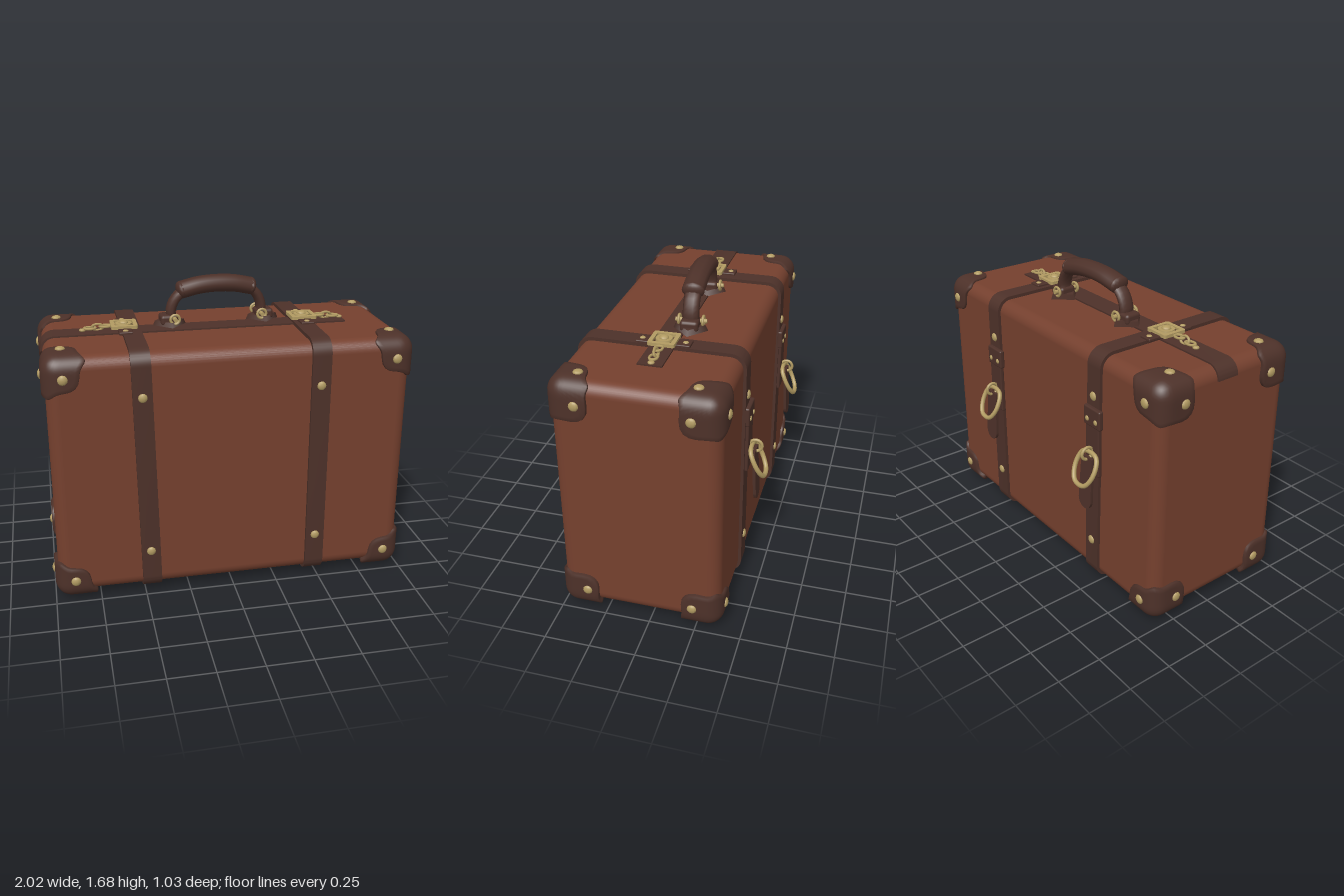
import * as THREE from 'three';
import { mergeVertices, toCreasedNormals } from 'three/addons/utils/BufferGeometryUtils.js';
import { RoundedBoxGeometry } from 'three/addons/geometries/RoundedBoxGeometry.js';

const material = (name, color) => Object.assign(new THREE.MeshStandardMaterial({ color }), { name });
const V = (x, y, z) => new THREE.Vector3(x, y, z);

// Outer limits of the corner caps
const LIMITS = [[-0.997, 0.997], [0, 1.408], [-0.396, 0.506]];

// Rounded shell over a box corner: a polar patch on each of its three faces
function capGeometry(sign) {
  const pos = [], index = [], rad = 0.09, rings = 10, arcs = 14;
  const flip = sign[0] * sign[1] * sign[2] < 0; // inward axes are -sign
  for (let f = 0; f < 3; f++) {
    const base = pos.length / 3;
    const bulge = f === 0 ? 0.055 : 0.015;
    for (let i = 0; i <= rings + 2; i++) {
      for (let j = 0; j <= arcs; j++) {
        const t = (j / arcs) * Math.PI / 2;
        const edge = 0.225 + bulge * Math.sin(2 * t) ** 2 - 0.02 * Math.sin(4 * t) ** 2;
        const r = edge * Math.min(i / rings, 1) + (i > rings ? 0.004 : 0);
        const depth = [0, 0.009, 0.045][Math.max(0, i - rings)];
        const p = [0, 0, 0];
        p[(f + 1) % 3] = r * Math.cos(t);
        p[(f + 2) % 3] = r * Math.sin(t);
        const c = p.map(v => Math.max(v, rad));
        const d = p.map((v, k) => v - c[k]);
        const len = Math.hypot(...d);
        for (let k = 0; k < 3; k++) {
          const local = c[k] + d[k] / len * (rad - depth);
          pos.push(LIMITS[k][sign[k] > 0 ? 1 : 0] - sign[k] * local);
        }
        if (i < rings + 2 && j < arcs) {
          const a = base + i * (arcs + 1) + j, b = a + arcs + 1;
          if (flip) index.push(a, a + 1, b, b, a + 1, b + 1);
          else index.push(a, b, a + 1, b, b + 1, a + 1);
        }
      }
    }
  }
  const geo = new THREE.BufferGeometry();
  geo.setAttribute('position', new THREE.Float32BufferAttribute(pos, 3));
  geo.setIndex(index);
  const merged = mergeVertices(geo, 1e-4);
  merged.computeVertexNormals();
  return merged;
}

// Rounded rectangle path
function roundRect(path, x0, y0, x1, y1, r) {
  path.absarc(x1 - r, y0 + r, r, -Math.PI / 2, 0);
  path.absarc(x1 - r, y1 - r, r, 0, Math.PI / 2);
  path.absarc(x0 + r, y1 - r, r, Math.PI / 2, Math.PI);
  path.absarc(x0 + r, y0 + r, r, Math.PI, Math.PI * 1.5);
  path.closePath();
  return path;
}

const extrude = (shape, depth) => toCreasedNormals(
  new THREE.ExtrudeGeometry(shape, { depth, bevelEnabled: false, curveSegments: 8 }), 0.6);

export function createModel() {
  const model = new THREE.Group();
  model.name = 'suitcase';
  const hide = material('russet leather', 0x75402e);
  const dark = material('dark leather', 0x4d3129);
  const brass = material('brass', 0xb29b62);

  const add = (name, geo, mat, x = 0, y = 0, z = 0, parent = model) => {
    const mesh = new THREE.Mesh(geo, mat);
    mesh.name = name;
    mesh.position.set(x, y, z);
    parent.add(mesh);
    return mesh;
  };
  const box = (name, mat, w, h, d, x, y, z, parent) =>
    add(name, new RoundedBoxGeometry(w, h, d, 2, Math.min(w, h, d) * 0.3), mat, x, y, z, parent);

  // Domed stud facing along one axis
  const domeGeo = new THREE.SphereGeometry(0.025, 10, 6);
  const rivet = (x, y, z, axis, size = 1) => {
    const m = add('rivet', domeGeo, brass, x, y, z);
    m.scale.setScalar(size);
    m.scale.setComponent(axis, 0.5 * size);
  };
  const tube = (points, r, closed = false) => new THREE.TubeGeometry(
    new THREE.CatmullRomCurve3(points, closed), 32, r, 10, closed);

  // Case
  add('case', new RoundedBoxGeometry(1.955, 1.36, 0.87, 5, 0.07), hide, 0, 0.715, 0.055);

  // Corner caps with a rivet on every face
  for (const sx of [-1, 1]) for (const sy of [-1, 1]) for (const sz of [-1, 1]) {
    const s = [sx, sy, sz];
    add('cornerCap', capGeometry(s), dark);
    const inset = [[0, 0.13, 0.16], [0.11, 0, 0.15], [0.11, 0.12, 0]];
    inset.forEach((d, axis) => rivet(
      ...d.map((v, k) => LIMITS[k][s[k] > 0 ? 1 : 0] - s[k] * v), axis, 1.08));
  }

  // Flat band along the top, folding over one end
  const band = new THREE.Shape();
  band.moveTo(0.72, 1.37);
  band.lineTo(0.72, 1.404);
  band.lineTo(-0.91, 1.404);
  band.absarc(-0.91, 1.326, 0.078, Math.PI / 2, Math.PI);
  band.lineTo(-0.95, 1.326);
  band.lineTo(-0.91, 1.37);
  band.closePath();
  add('topBand', extrude(band, 0.13), dark, 0, 0, -0.015);

  // Strap loop around the case
  const loop = roundRect(new THREE.Shape(), -0.507, 0.02, 0.397, 1.414, 0.085);
  loop.holes.push(roundRect(new THREE.Path(), -0.475, 0.05, 0.365, 1.38, 0.06));
  const strapGeo = extrude(loop, 0.105);
  strapGeo.translate(0, 0, -0.0525).rotateY(Math.PI / 2);

  // Square frame, pull ring and hanging tongue
  const frame = roundRect(new THREE.Shape(), -0.072, -0.072, 0.072, 0.072, 0.012);
  frame.holes.push(roundRect(new THREE.Path(), -0.05, -0.05, 0.05, 0.05, 0.006));
  const frameGeo = extrude(frame, 0.018).rotateX(-Math.PI / 2);
  const ringGeo = tube([V(-0.055, 0.08, 0), V(0.055, 0.08, 0), V(0.078, -0.01, 0),
    V(0.04, -0.085, 0), V(-0.04, -0.085, 0), V(-0.078, -0.01, 0)], 0.013, true);
  const tongue = new THREE.Shape();
  tongue.moveTo(0.045, 0.15);
  tongue.lineTo(-0.045, 0.15);
  tongue.lineTo(-0.052, -0.11);
  tongue.quadraticCurveTo(-0.045, -0.155, 0, -0.16);
  tongue.quadraticCurveTo(0.045, -0.155, 0.052, -0.11);
  tongue.closePath();
  const tongueGeo = extrude(tongue, 0.016);

  for (const side of [-1, 1]) {
    const x = side < 0 ? -0.478 : 0.468;
    const lean = side < 0 ? 0.018 : 0;
    const at = y => x - lean * (y - 0.7) * 1.2;
    const strap = strapGeo.clone();
    const p = strap.attributes.position;
    for (let i = 0; i < p.count; i++) p.setX(i, p.getX(i) + at(p.getY(i)));
    add('strap', strap, dark);
    for (const y of [0.265, 1.165]) {
      rivet(at(y), y, 0.508, 2);
      rivet(at(y), y, -0.398, 2);
    }
    for (const z of [-0.2, 0.32]) rivet(at(0), 0.02, z, 1);

    // Back fastening
    const bx = side < 0 ? -0.497 : 0.45;
    box('strapKeeper', dark, 0.135, 0.11, 0.03, bx, 1.05, -0.403);
    box('strapOverlay', dark, 0.11, 0.32, 0.025, bx, 0.87, -0.402);
    for (const dx of [-0.035, 0.035]) rivet(bx + dx, 1.035, -0.418, 2, 0.6);
    const hook = add('buckleHook', new THREE.TorusGeometry(0.034, 0.009, 8, 16), brass, bx, 0.85, -0.445);
    hook.rotation.y = Math.PI / 2;
    add('buckleRing', ringGeo, brass, bx, 0.765, -0.462).rotation.x = 0.44;
    add('strapTongue', tongueGeo, dark, bx, 0.68, -0.458).rotation.x = 0.06;

    // Top clasp: leather tab, square frame, stud and chain
    const cx = side < 0 ? -0.53 : 0.48;
    box('claspTab', dark, 0.075, 0.018, 0.29, cx, 1.417, 0.045);
    add('claspFrame', frameGeo, brass, cx, 1.421, 0.045);
    add('claspPlate', new THREE.CylinderGeometry(0.044, 0.048, 0.02, 16), brass, cx, 1.43, 0.045);
    const stud = add('claspStud', new THREE.SphereGeometry(0.026, 12, 8), brass, cx, 1.44, 0.045);
    stud.scale.y = 0.6;
    for (const z of [-0.07, 0.16]) rivet(cx, 1.425, z, 1, 0.65);
    for (let i = 0; i < 3; i++) {
      const link = add('claspChain', new THREE.TorusGeometry(0.021, 0.007, 6, 14), brass,
        cx + side * (0.1 + i * 0.042), 1.427 - i * 0.004, 0.045);
      link.scale.x = 1.4;
      link.rotation.x = i % 2 ? 0.4 : Math.PI / 2;
    }
    rivet(cx + side * 0.225, 1.41, 0.045, 1, 0.75);
  }

  // Handle: flat inner strap with a padded grip
  const handle = new THREE.Group();
  handle.name = 'handle';
  handle.position.z = -0.02;
  handle.rotation.y = 0.06;
  model.add(handle);
  const arch = add('handleStrap', tube([V(-0.25, 1.41, 0), V(-0.262, 1.48, 0), V(-0.225, 1.56, 0),
    V(-0.13, 1.61, 0), V(0, 1.625, 0), V(0.13, 1.61, 0), V(0.225, 1.56, 0), V(0.262, 1.48, 0),
    V(0.25, 1.41, 0)], 0.028), dark, 0, 0, 0, handle);
  arch.scale.z = 1.6;
  const gripPoints = [V(-0.2, 1.595, 0), V(-0.1, 1.616, 0), V(0, 1.622, 0), V(0.1, 1.616, 0), V(0.2, 1.595, 0)];
  add('handleGrip', tube(gripPoints, 0.048), dark, 0, 0, 0, handle).scale.z = 1.3;
  for (const s of [-1, 1]) {
    const end = add('gripEnd', new THREE.SphereGeometry(0.048, 14, 10), dark, s * 0.2, 1.595, 0, handle);
    end.scale.set(0.6, 1, 1.3);
    end.rotation.z = -s * 0.22;
    // Pointed leather mount with a cross pin
    const mount = new THREE.CylinderGeometry(0.082, 0.095, 0.03, 4);
    add('handleMount', mount.toNonIndexed(), dark, s * 0.27, 1.415, 0, handle);
    box('mountBlock', dark, 0.1, 0.06, 0.1, s * 0.275, 1.435, 0, handle);
    const pin = add('mountPin', new THREE.CylinderGeometry(0.012, 0.012, 0.17, 10), brass, s * 0.25, 1.445, 0, handle);
    pin.rotation.x = Math.PI / 2;
    for (const z of [-0.065, 0.065])
      add('mountRing', new THREE.TorusGeometry(0.026, 0.008, 6, 14), brass, s * 0.25, 1.445, z, handle);
  }
  return model;
}
